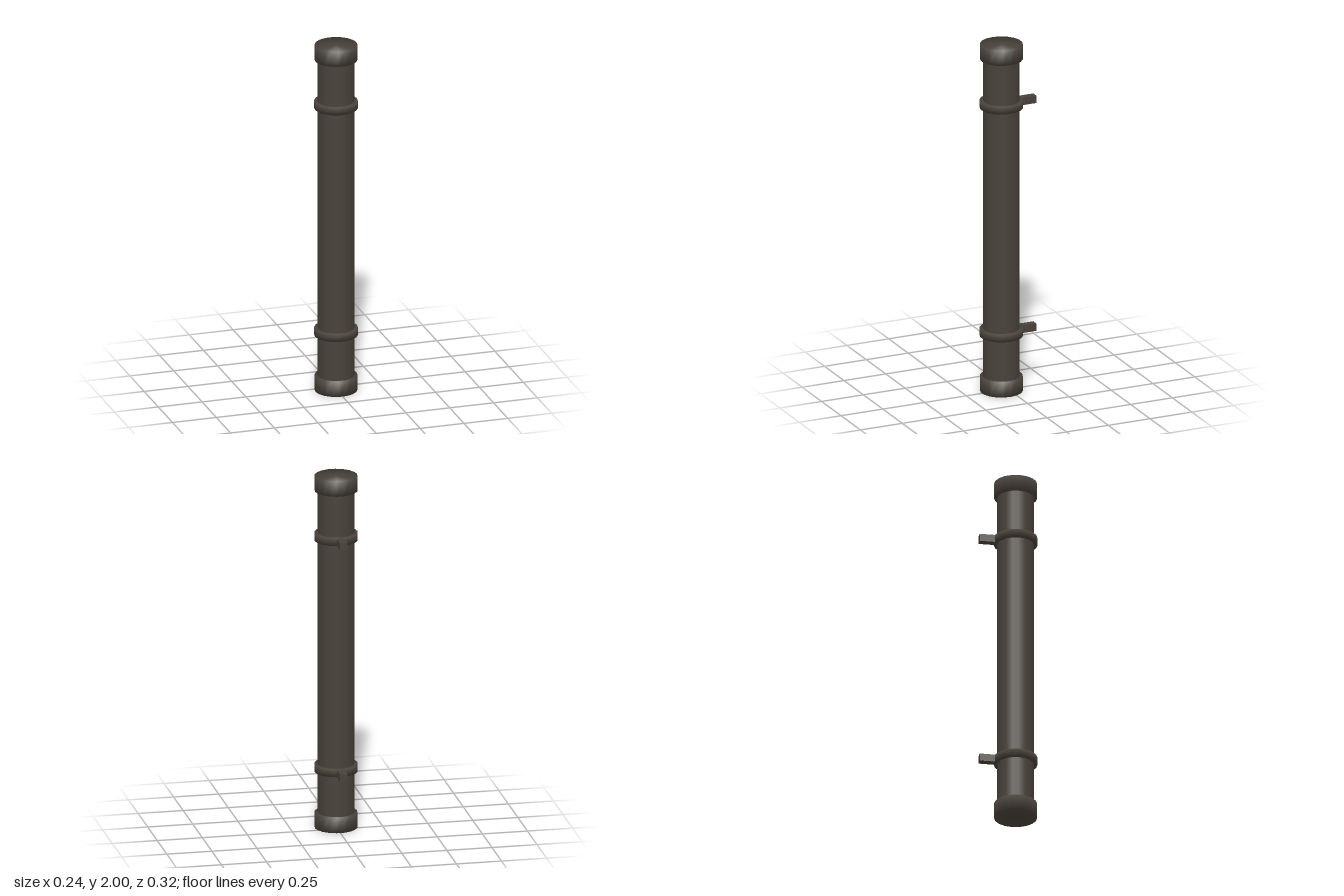
import * as THREE from 'three';
import { mergeVertices } from 'three/addons/utils/BufferGeometryUtils.js';

const SIDES = 18;
const AXIS_Z = 0.041; // the pipe sits forward of its wall brackets

// Weld corners so shading rolls softly over the edges
function soften(geometry) {
  geometry.deleteAttribute('uv');
  geometry.deleteAttribute('normal');
  const welded = mergeVertices(geometry, 1e-4);
  welded.computeVertexNormals();
  return welded;
}

export function createModel() {
  const group = new THREE.Group();
  const darkMetal = new THREE.MeshStandardMaterial({ color: 0x48423a });
  darkMetal.name = 'darkMetal';

  // Upright drum between two heights, with a flat side facing front and back
  function addDrum(name, radius, y0, y1, soft) {
    let geometry = new THREE.CylinderGeometry(radius, radius, y1 - y0, SIDES);
    geometry.rotateY(Math.PI / SIDES);
    if (soft) geometry = soften(geometry);
    const mesh = new THREE.Mesh(geometry, darkMetal);
    mesh.name = name;
    mesh.position.set(0, (y0 + y1) / 2, AXIS_Z);
    group.add(mesh);
  }

  // Pipe and end caps
  addDrum('pipe', 0.1, 0.04, 1.96, false);
  addDrum('bottomCap', 0.117, 0, 0.086, true);
  addDrum('topCap', 0.117, 1.914, 2, true);

  // Clamp bands, each with a bracket reaching back to the wall
  for (const [label, y] of [['lower', 0.34], ['upper', 1.655]]) {
    addDrum(label + 'Band', 0.119, y - 0.021, y + 0.021, true);
    const bracket = new THREE.Mesh(new THREE.BoxGeometry(0.041, 0.042, 0.085), darkMetal);
    bracket.name = label + 'Bracket';
    bracket.position.set(0, y, -0.1175);
    group.add(bracket);
  }

  return group;
}
